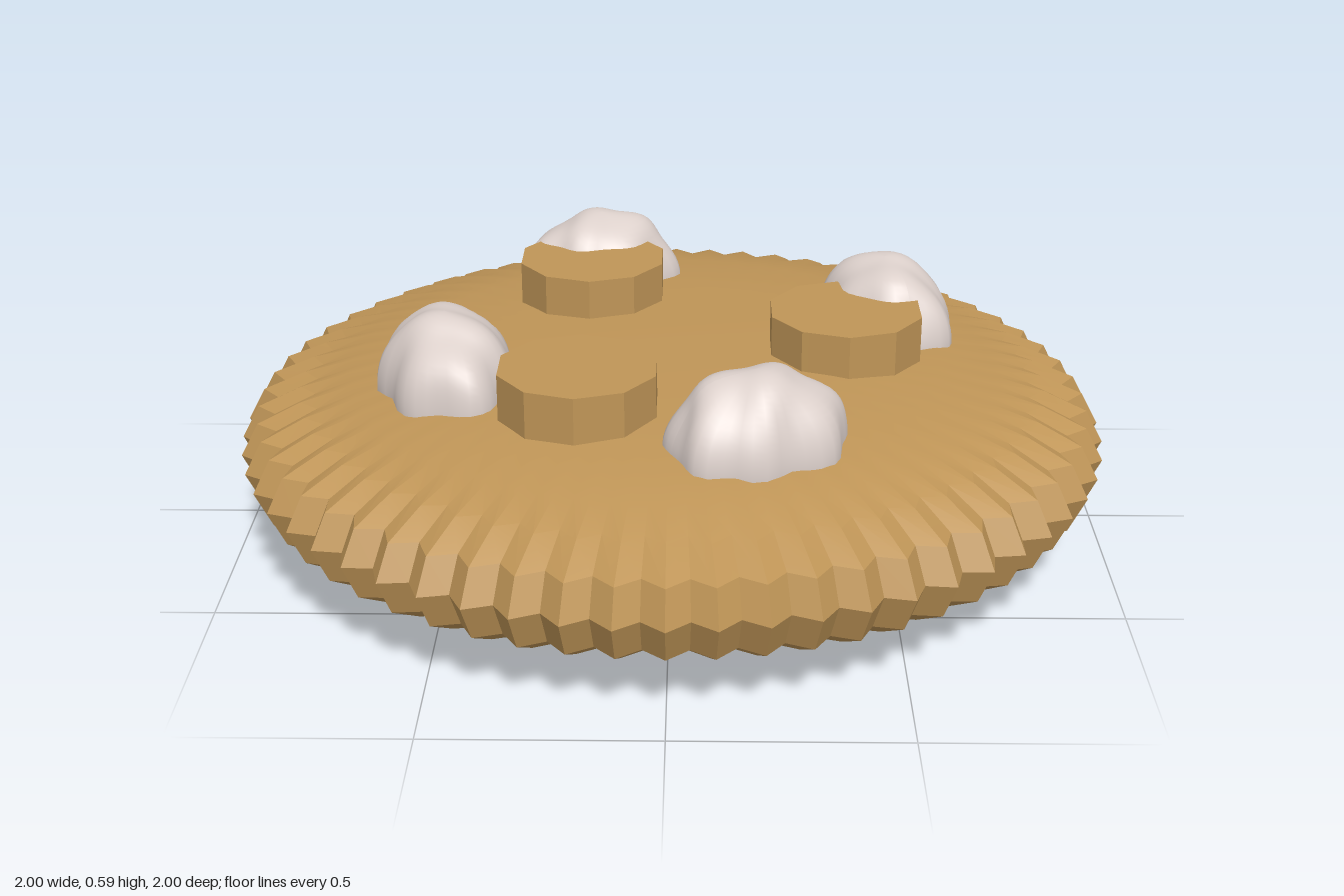
import * as THREE from 'three';
import { toCreasedNormals } from 'three/addons/utils/BufferGeometryUtils.js';

const crust = new THREE.MeshStandardMaterial({ color: 0xbf9557 });
crust.name = 'golden crust';
const cream = new THREE.MeshStandardMaterial({ color: 0xdcd0cb });
cream.name = 'cream white';

// Applies a rule to every vertex of a geometry
function reshape(geometry, rule) {
  const pos = geometry.attributes.position;
  const v = new THREE.Vector3();
  for (let i = 0; i < pos.count; i++) {
    rule(v.fromBufferAttribute(pos, i));
    pos.setXYZ(i, v.x, v.y, v.z);
  }
  geometry.computeVertexNormals();
  return geometry;
}

// Round base whose rim is pinched into flutes that fade towards the middle
function baseGeometry() {
  const flutes = 60;
  const profile = [
    [0, 0], [0.6, 0.05], [0.75, 0.08], [0.88, 0.115], [0.96, 0.16], [1, 0.245],
    [0.96, 0.32], [0.86, 0.365], [0.75, 0.395], [0.62, 0.42], [0.4, 0.433], [0, 0.44],
  ].map(([r, y]) => new THREE.Vector2(r, y));
  const geo = reshape(new THREE.LatheGeometry(profile, flutes * 2), (v) => {
    const r = Math.hypot(v.x, v.z);
    const wave = (1 - Math.cos(flutes * Math.atan2(v.x, v.z))) / 2;
    const k = 1 - 0.042 * THREE.MathUtils.smoothstep(r, 0.6, 0.9) * wave;
    v.x *= k;
    v.z *= k;
  });
  return toCreasedNormals(geo, 0.45);
}

// Short disc with a scalloped edge
function discGeometry() {
  const geo = reshape(new THREE.CylinderGeometry(0.18, 0.18, 0.13, 20), (v) => {
    const k = 1 - 0.025 * (1 - Math.cos(10 * Math.atan2(v.x, v.z)));
    v.x *= k;
    v.z *= k;
  });
  return toCreasedNormals(geo, 0.3);
}

// Oval dollop crossed by slanting ridges
function dollopGeometry() {
  return reshape(new THREE.SphereGeometry(1, 40, 20, 0, Math.PI * 2, 0, Math.PI * 0.58), (v) => {
    const ridge = Math.sin(9 * v.x + 3.5 * v.z) + 0.5 * Math.sin(6 * v.z - 5 * v.x);
    const k = 1 + 0.055 * ridge;
    v.set(v.x * 0.2 * k, v.y * 0.18 * (1 + 0.02 * ridge), v.z * 0.148 * k);
  });
}

export function createModel() {
  const group = new THREE.Group();
  group.name = 'tart';

  const add = (name, geometry, material) => {
    const mesh = new THREE.Mesh(geometry, material);
    mesh.name = name;
    group.add(mesh);
    return mesh;
  };

  add('flutedBase', baseGeometry(), crust);

  // Three discs in a ring
  const disc = discGeometry();
  for (let i = 0; i < 3; i++) {
    const a = (i * Math.PI * 2) / 3;
    add('disc', disc, crust).position.set(0.4 * Math.cos(a), 0.465, 0.4 * Math.sin(a));
  }

  // Four dollops in a ring, each lying along the circle
  const dollop = dollopGeometry();
  for (let i = 0; i < 4; i++) {
    const a = 0.35 + (i * Math.PI) / 2;
    const mesh = add('creamDollop', dollop, cream);
    mesh.position.set(0.535 * Math.sin(a), 0.412, 0.535 * Math.cos(a));
    mesh.rotation.y = a;
  }

  return group;
}
